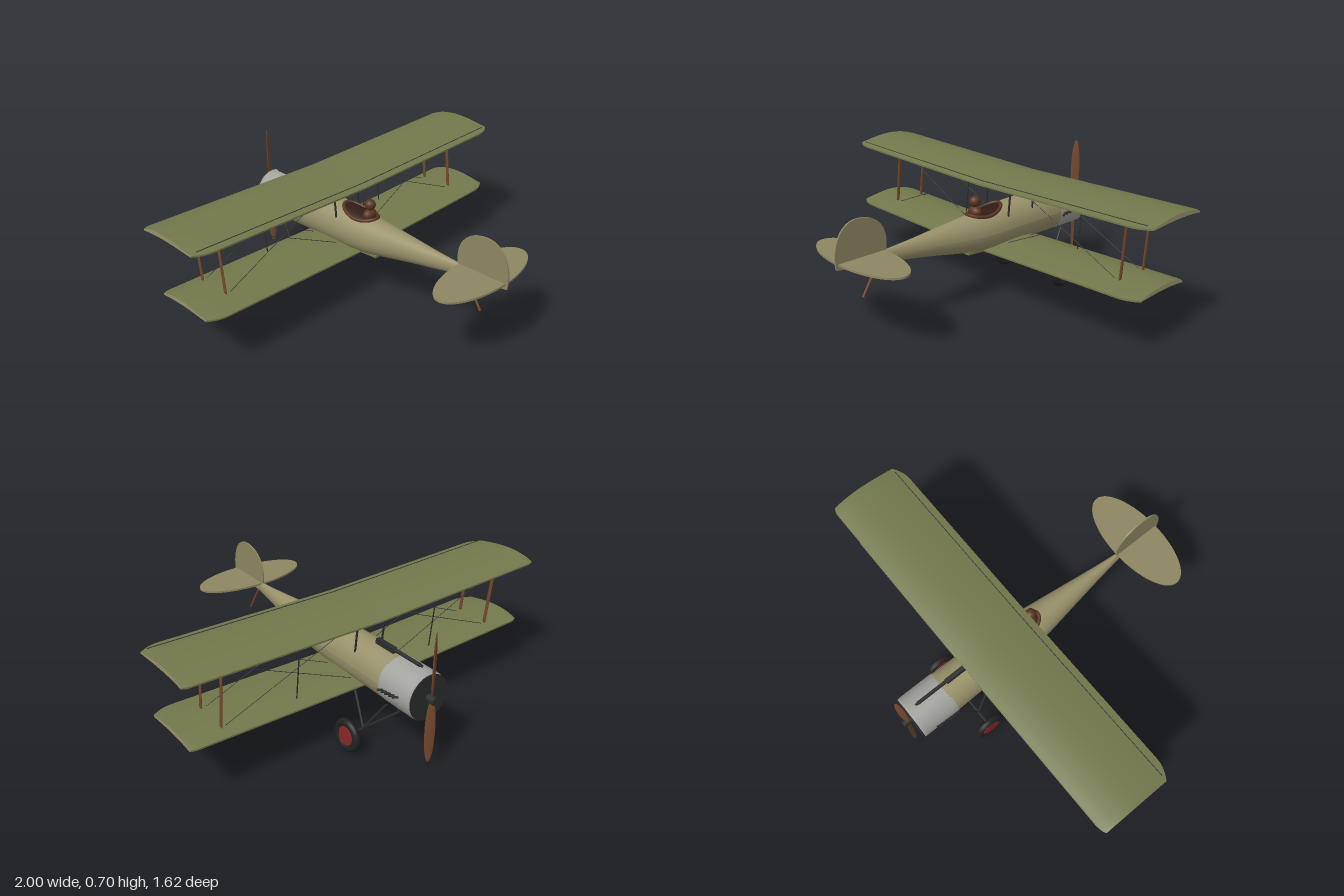
import * as THREE from 'three';

const mat = (color) => new THREE.MeshStandardMaterial({ color, side: THREE.DoubleSide });
const M = {
  olive: mat(0x73784c), under: mat(0x827a62), khaki: mat(0x98916a), tail: mat(0x8d8662),
  metal: mat(0xa2a29e), dark: mat(0x2b2c2c), tyre: mat(0x222222), red: mat(0x8c2626),
  wood: mat(0x74482c), leather: mat(0x5a3422), pit: mat(0x2e1d15), wire: mat(0x383838),
};
const V = (x, y, z) => new THREE.Vector3(x, y, z);

function add(group, name, geometry, material, x = 0, y = 0, z = 0) {
  const mesh = new THREE.Mesh(geometry, material);
  mesh.name = name;
  mesh.position.set(x, y, z);
  group.add(mesh);
  return mesh;
}

// Grid surface from f(u, v); front side along dP/du x dP/dv
function surf(nu, nv, f) {
  const pos = [], idx = [];
  for (let i = 0; i <= nu; i++) for (let j = 0; j <= nv; j++) pos.push(...f(i / nu, j / nv));
  for (let i = 0; i < nu; i++) for (let j = 0; j < nv; j++) {
    const a = i * (nv + 1) + j, b = a + nv + 1;
    idx.push(a, b, a + 1, b, b + 1, a + 1);
  }
  const g = new THREE.BufferGeometry();
  g.setAttribute('position', new THREE.Float32BufferAttribute(pos, 3));
  g.setIndex(idx);
  g.computeVertexNormals();
  return g;
}

// Straight round or flattened bar between two points
function bar(group, name, a, b, r, material, flat = 1) {
  const d = b.clone().sub(a);
  const m = add(group, name, new THREE.CylinderGeometry(r, r, d.length(), flat === 1 ? 8 : 12), material);
  m.position.copy(a).add(b).multiplyScalar(0.5);
  m.quaternion.setFromUnitVectors(V(0, 1, 0), d.normalize());
  m.scale.set(1 / flat, 1, 1);
  return m;
}

// Fuselage stations: z, top, bottom, half width
const STATIONS = [
  [-0.57, 0.48, 0.25, 0.108], [-0.4, 0.48, 0.25, 0.104], [-0.2, 0.476, 0.249, 0.102],
  [-0.1, 0.467, 0.252, 0.097], [0, 0.457, 0.262, 0.088], [0.1, 0.449, 0.28, 0.074],
  [0.25, 0.438, 0.31, 0.052], [0.4, 0.426, 0.336, 0.031], [0.55, 0.418, 0.362, 0.012],
  [0.68, 0.41, 0.372, 0.006], [0.8, 0.403, 0.39, 0.003],
];
function section(z) {
  let i = 0;
  while (i < STATIONS.length - 2 && z > STATIONS[i + 1][0]) i++;
  const p = STATIONS[i], q = STATIONS[i + 1];
  const t = THREE.MathUtils.clamp((z - p[0]) / (q[0] - p[0]), 0, 1);
  const [, top, bot, w] = p.map((v, k) => v + (q[k] - v) * t);
  return { cy: (top + bot) / 2, h: (top - bot) / 2, w };
}
const deckY = (x, z) => {
  const s = section(z);
  return s.cy + s.h * Math.sqrt(Math.max(0, 1 - (x / s.w) ** 2));
};

// Cambered wing with dihedral and clipped tips
function wing(name, half, lead, trail, y0, rise) {
  const g = new THREE.Group();
  g.name = name;
  const point = (x, c, upper) => {
    const a = Math.abs(x);
    const t = Math.max(0, (a - half + 0.1) / 0.1), e = Math.max(0, (a - half + 0.035) / 0.035);
    const zl = lead + 0.012 * e * e, zt = trail - 0.035 * t * t;
    const s = Math.sin(Math.PI * Math.pow(c, 0.8));
    return [x, y0 + rise * a / half + (upper ? 0.008 + 0.024 * s : 0.009 * s), zl + (zt - zl) * c];
  };
  // more stations packed toward the tips
  const span = (u) => half * Math.sin((u - 0.5) * Math.PI);
  add(g, name + 'Top', surf(48, 14, (u, v) => point(span(u), 1 - v, true)), M.olive);
  add(g, name + 'Underside', surf(48, 14, (u, v) => point(span(u), v, false)), M.under);
  for (const s of [-1, 1]) add(g, name + 'Tip', surf(1, 14, (u, v) => point(s * half, v, s > 0 ? u > 0.5 : u < 0.5)), M.khaki);
  for (const c of [0, 1]) add(g, name + 'Edge', surf(48, 1, (u, v) => point(span(u), c, c ? v < 0.5 : v > 0.5)), M.olive);
  return g;
}

export function createModel() {
  const model = new THREE.Group();
  model.name = 'biplane';

  // Body and engine cowl
  add(model, 'fuselage', surf(60, 32, (u, v) => {
    const z = -0.57 + 1.37 * u, s = section(z), a = -v * Math.PI * 2;
    return [s.w * Math.cos(a), s.cy + s.h * Math.sin(a), z];
  }), M.khaki);
  const cowlProfile = [[0.113, 0], [0.115, 0.02], [0.115, 0.19], [0.112, 0.205], [0.1, 0.205]].map(p => new THREE.Vector2(...p));
  const cowl = add(model, 'cowl', new THREE.LatheGeometry(cowlProfile, 40), M.metal, 0, 0.365, -0.56);
  cowl.rotation.x = -Math.PI / 2;
  cowl.scale.x = 0.97;
  const face = add(model, 'engineFace', new THREE.CylinderGeometry(0.112, 0.112, 0.01, 40), M.dark, 0, 0.365, -0.764);
  face.rotation.x = Math.PI / 2;
  face.scale.x = 0.97;
  for (const s of [-1, 1]) for (let i = 0; i < 5; i++) {
    const z = -0.685 + i * 0.025, y = 0.367 - i * 0.003;
    bar(model, 'exhaustStub', V(s * 0.107, y + 0.004, z - 0.012), V(s * 0.119, y - 0.008, z + 0.018), 0.006, M.dark);
  }

  // Propeller
  const hub = add(model, 'propellerHub', new THREE.CylinderGeometry(0.02, 0.02, 0.05, 20), M.dark, 0, 0.365, -0.788);
  hub.rotation.x = Math.PI / 2;
  for (const s of [-1, 1]) {
    const blade = add(model, 'propellerBlade', new THREE.SphereGeometry(1, 16, 20), M.wood, 0, 0.365 + s * 0.165, -0.79);
    blade.scale.set(0.024, 0.167, 0.006);
    blade.rotation.y = s * 0.6;
  }

  // Gun on the nose deck
  add(model, 'gunReceiver', new THREE.BoxGeometry(0.022, 0.026, 0.12), M.dark, 0, 0.493, -0.48);
  bar(model, 'gunBarrel', V(0, 0.497, -0.54), V(0, 0.497, -0.705), 0.009, M.dark);
  bar(model, 'gunMuzzle', V(0, 0.497, -0.7), V(0, 0.497, -0.718), 0.006, M.dark);

  // Cockpit opening, padded rim and pilot
  const rim = (a, r) => {
    const x = 0.058 * r * Math.cos(a), z = -0.09 + 0.105 * r * Math.sin(a);
    return V(x, deckY(x, z) + 0.003, z);
  };
  add(model, 'cockpitOpening', surf(8, 32, (u, v) => rim(-v * Math.PI * 2, u).toArray()), M.pit);
  const loop = Array.from({ length: 24 }, (_, i) => rim(i / 24 * Math.PI * 2, 1));
  add(model, 'cockpitRim', new THREE.TubeGeometry(new THREE.CatmullRomCurve3(loop, true), 64, 0.009, 8, true), M.leather);
  add(model, 'pilotBody', new THREE.SphereGeometry(0.036, 16, 12), M.leather, 0, 0.468, -0.03).scale.set(1.1, 0.8, 0.8);
  add(model, 'pilotHead', new THREE.SphereGeometry(0.028, 20, 14), M.leather, 0, 0.521, -0.027);
  for (const s of [-1, 1]) add(model, 'goggles', new THREE.TorusGeometry(0.008, 0.003, 6, 14), M.dark, s * 0.011, 0.525, -0.053);

  // Wings
  model.add(wing('upperWing', 1, -0.447, -0.056, 0.595, 0.021));
  model.add(wing('lowerWing', 0.97, -0.408, -0.045, 0.264, 0.021));
  const fairing = add(model, 'wingRootFairing', new THREE.BoxGeometry(0.09, 0.012, 0.14), M.olive, 0, 0.271, -0.015);
  fairing.rotation.x = -0.06;

  for (const s of [-1, 1]) {
    bar(model, 'aileronHinge', V(0, 0.6105, -0.092), V(s * 0.97, 0.631, -0.092), 0.002, M.wire);
    // Interplane struts, cabane struts and bracing wires
    for (const [zb, zt] of [[-0.172, -0.202], [-0.345, -0.378]]) {
      bar(model, 'interplaneStrut', V(s * 0.79, 0.292, zb), V(s * 0.79, 0.62, zt), 0.01, M.wood, 2.5);
      bar(model, 'cabaneStrut', V(s * 0.08, 0.42, zb - 0.012), V(s * 0.08, 0.605, zt), 0.005, M.dark);
      bar(model, 'bracingWire', V(s * 0.08, 0.605, zt), V(s * 0.79, 0.295, zb), 0.0015, M.wire);
      bar(model, 'bracingWire', V(s * 0.08, 0.285, zb), V(s * 0.79, 0.618, zt), 0.0015, M.wire);
    }
    bar(model, 'middleStrut', V(s * 0.4, 0.285, -0.345), V(s * 0.4, 0.61, -0.378), 0.003, M.dark);

    // Landing gear
    for (const z of [-0.355, -0.59])
      bar(model, 'gearLeg', V(s * 0.082, 0.265, z), V(s * 0.113, 0.085, -0.47), 0.006, M.dark);
    const tyre = add(model, 'tyre', new THREE.TorusGeometry(0.066, 0.018, 12, 36), M.tyre, s * 0.205, 0.085, -0.47);
    tyre.rotation.y = Math.PI / 2;
    for (const [name, r, w, m] of [['wheelDisc', 0.062, 0.022, M.tyre], ['wheelHub', 0.047, 0.03, M.red]]) {
      const disc = add(model, name, new THREE.CylinderGeometry(r, r, w, 32), m, s * 0.205, 0.085, -0.47);
      disc.rotation.z = Math.PI / 2;
    }
  }
  bar(model, 'axle', V(-0.21, 0.085, -0.47), V(0.21, 0.085, -0.47), 0.006, M.dark);

  // Tail surfaces and skid
  const plane = add(model, 'tailplane', new THREE.CylinderGeometry(1, 1, 0.01, 56), M.tail, 0, 0.414, 0.663);
  plane.scale.set(0.304, 1, 0.128);
  const finShape = new THREE.Shape();
  finShape.moveTo(0.53, 0.41);
  finShape.bezierCurveTo(0.505, 0.53, 0.575, 0.603, 0.68, 0.603);
  finShape.bezierCurveTo(0.775, 0.603, 0.82, 0.5, 0.802, 0.392);
  finShape.lineTo(0.68, 0.385);
  const fin = add(model, 'finAndRudder', new THREE.ExtrudeGeometry(finShape, { depth: 0.008, bevelEnabled: false, curveSegments: 20 }), M.tail, 0.004, 0, 0);
  fin.rotation.y = -Math.PI / 2;
  bar(model, 'tailSkid', V(0, 0.37, 0.575), V(0, 0.222, 0.667), 0.006, M.wood);

  return model;
}
